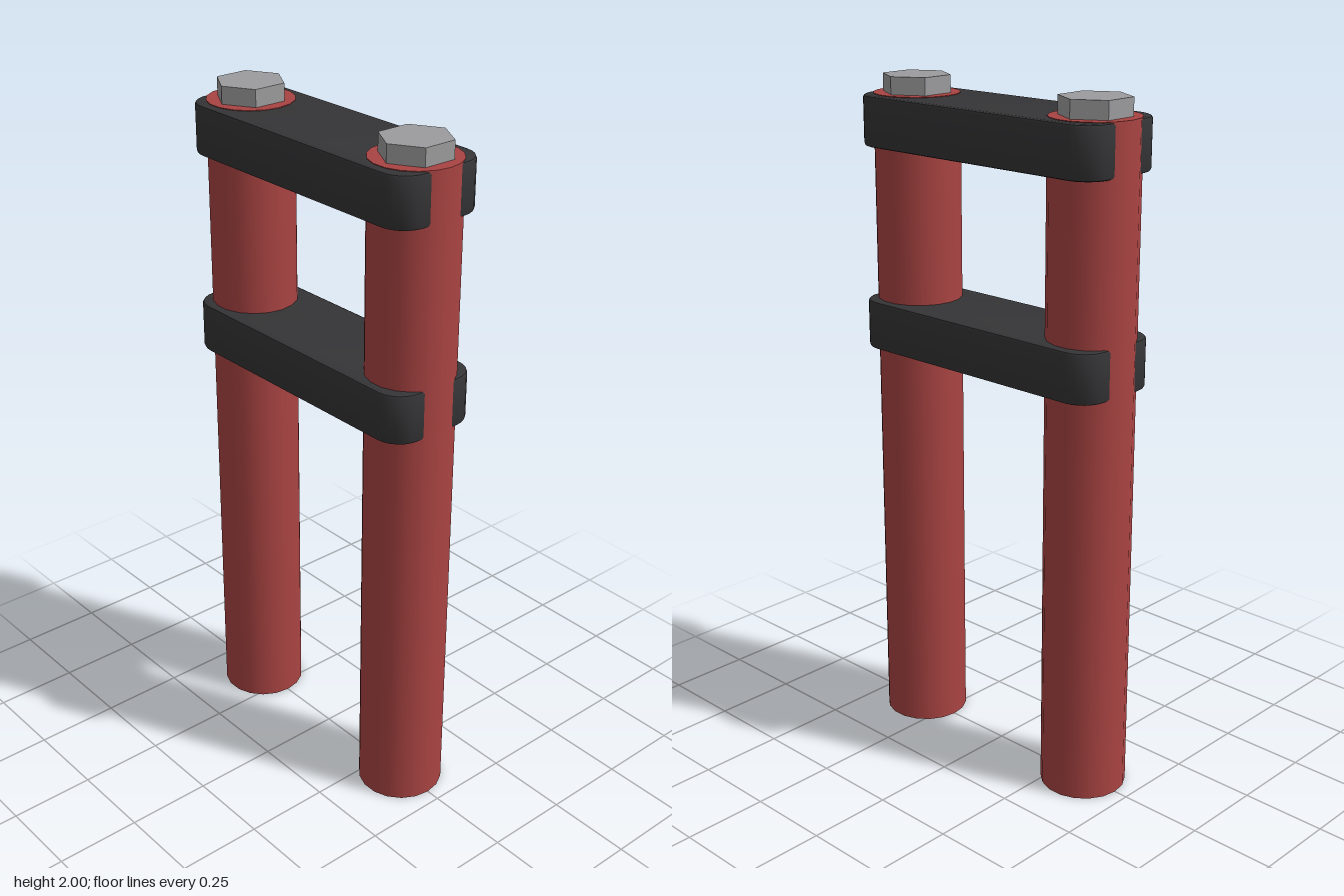
import * as THREE from 'three';
import { toCreasedNormals } from 'three/addons/utils/BufferGeometryUtils.js';

const material = (color, flatShading = false) => new THREE.MeshStandardMaterial({ color, flatShading });

// Rounded plate lying flat, bottom at y = 0, with a small bevel on both faces
function plateGeometry(halfX, halfZ, height, radius, bevel) {
  const x = halfX, z = halfZ, r = radius;
  const shape = new THREE.Shape();
  shape.moveTo(-x + r, -z);
  shape.lineTo(x - r, -z);
  shape.absarc(x - r, -z + r, r, -Math.PI / 2, 0);
  shape.absarc(x - r, z - r, r, 0, Math.PI / 2);
  shape.absarc(-x + r, z - r, r, Math.PI / 2, Math.PI);
  shape.absarc(-x + r, -z + r, r, Math.PI, Math.PI * 1.5);
  const geometry = new THREE.ExtrudeGeometry(shape, {
    depth: height - 2 * bevel, curveSegments: 3, bevelEnabled: true,
    bevelThickness: bevel, bevelSize: bevel, bevelOffset: -bevel, bevelSegments: 2,
  });
  geometry.rotateX(-Math.PI / 2).translate(0, bevel, 0);
  return toCreasedNormals(geometry, 0.6);
}

export function createModel() {
  const model = new THREE.Group();
  const red = material(0xa94442);
  const black = material(0x353537);
  const steel = material(0x9c9c9e, true);

  const add = (name, geometry, mat, x, y) => {
    const mesh = new THREE.Mesh(geometry, mat);
    mesh.name = name;
    mesh.position.set(x, y, 0);
    model.add(mesh);
  };

  // Fork tubes with a hexagonal cap bolt on each
  const tube = new THREE.CylinderGeometry(0.125, 0.125, 1.95, 18).rotateY(Math.PI / 2);
  const bolt = new THREE.CylinderGeometry(0.1, 0.1, 0.06, 6);
  for (const [side, s] of [['left', 1], ['right', -1]]) {
    add(side + 'Tube', tube, red, s * 0.333, 0.975);
    add(side + 'CapBolt', bolt, steel, s * 0.333, 1.97);
  }

  // Clamps joining the tubes
  const clamp = plateGeometry(0.445, 0.148, 0.145, 0.078, 0.009);
  add('upperClamp', clamp, black, 0, 1.803);
  add('lowerClamp', clamp, black, 0, 1.21);

  return model;
}
